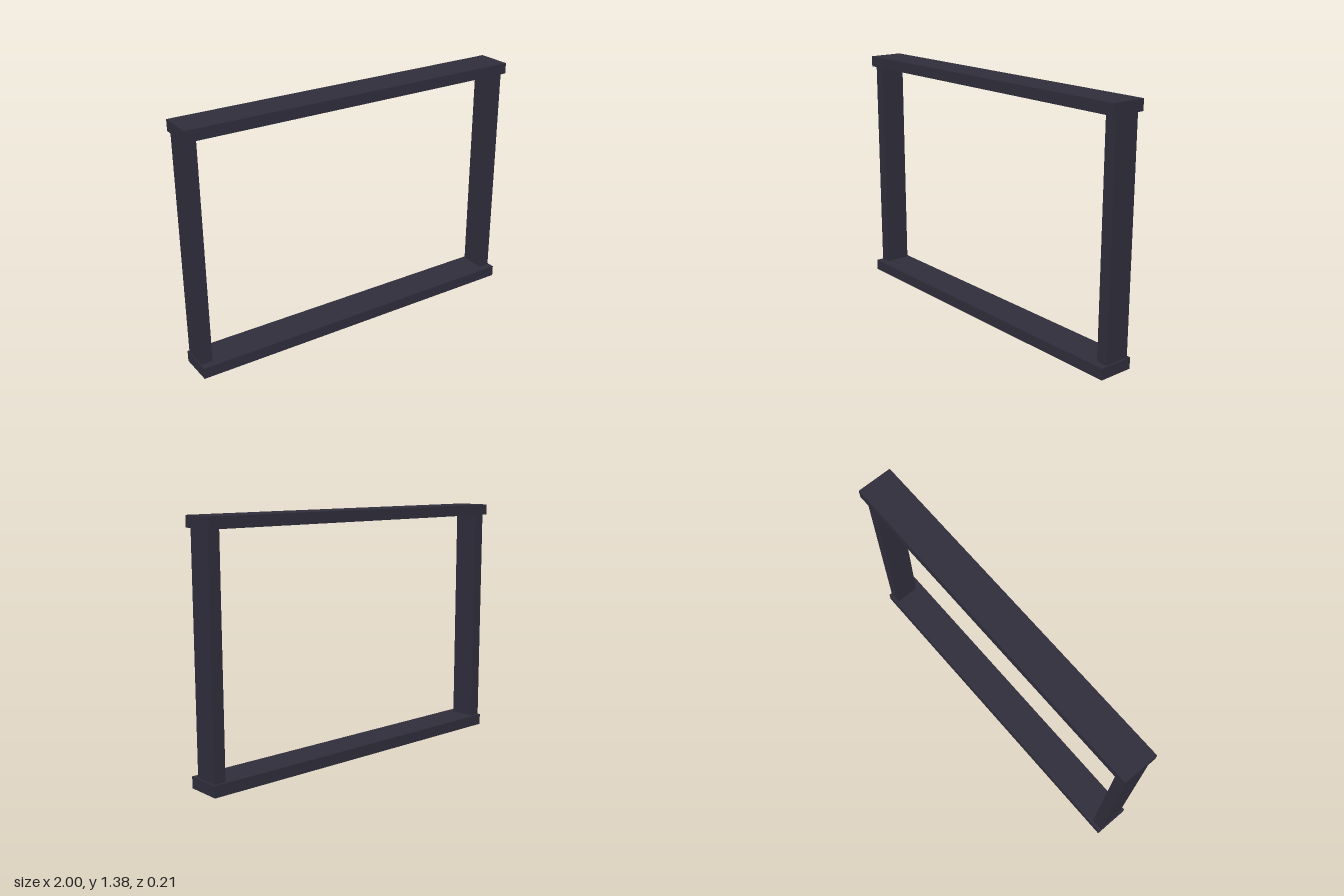
import * as THREE from 'three';

export function createModel() {
  const group = new THREE.Group();
  const frameColour = new THREE.MeshStandardMaterial({ color: 0x2f2d3b });
  frameColour.name = 'dark slate';

  // Box beam given by its minimum and maximum corners
  function beam(name, [x0, y0, z0], [x1, y1, z1]) {
    const mesh = new THREE.Mesh(new THREE.BoxGeometry(x1 - x0, y1 - y0, z1 - z0), frameColour);
    mesh.position.set((x0 + x1) / 2, (y0 + y1) / 2, (z0 + z1) / 2);
    mesh.name = name;
    group.add(mesh);
  }

  // Wide rails, the top one set slightly further back
  beam('bottomRail', [-1, 0, -0.094], [1, 0.063, 0.107]);
  beam('topRail', [-1, 1.315, -0.107], [1, 1.376, 0.094]);

  // Narrower posts between the rails
  beam('rightPost', [-0.995, 0.063, -0.08], [-0.93, 1.315, 0.066]);
  beam('leftPost', [0.926, 0.063, -0.08], [0.991, 1.315, 0.066]);

  return group;
}
